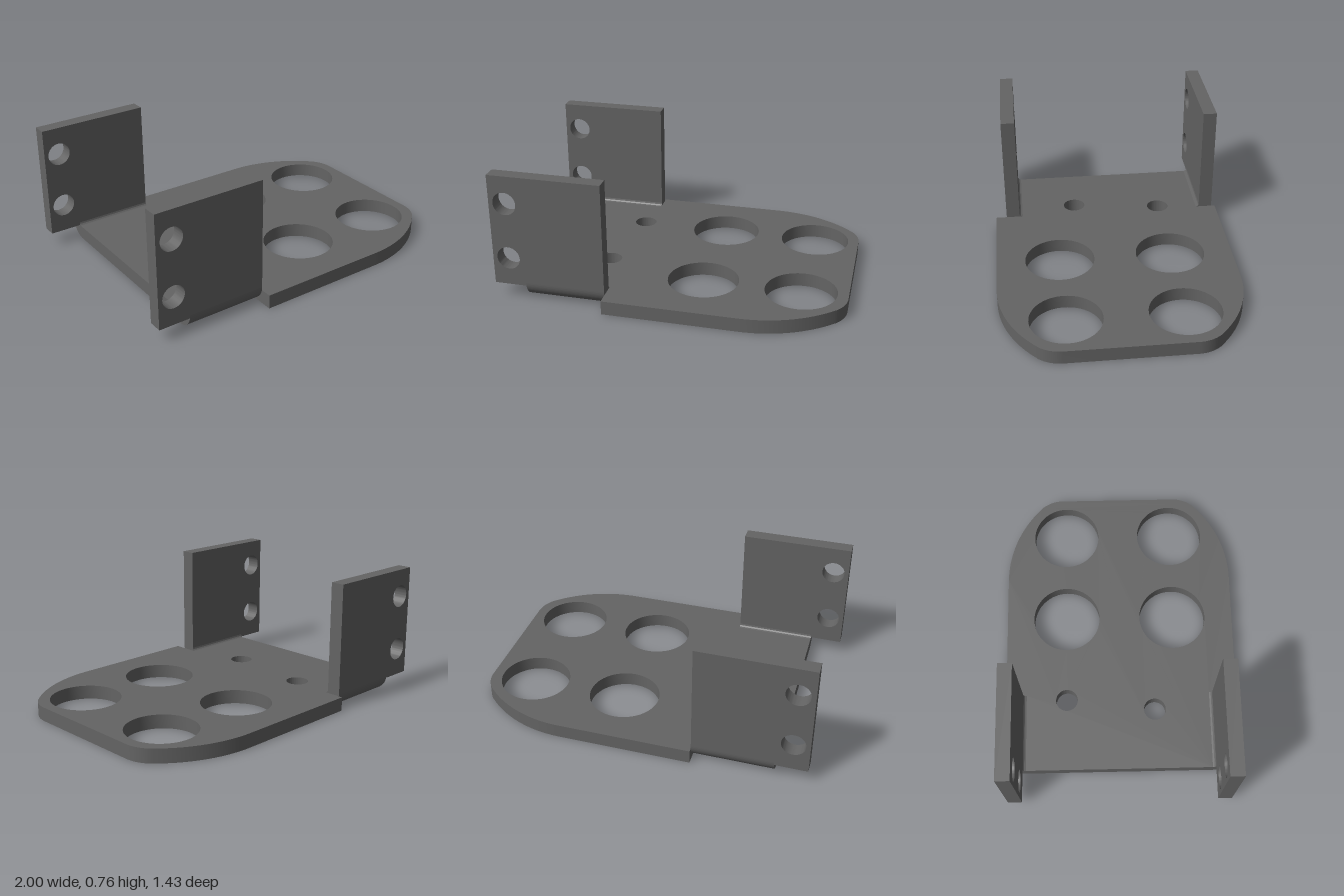
import * as THREE from 'three';
import { toCreasedNormals } from 'three/addons/utils/BufferGeometryUtils.js';

const T = 0.083;          // sheet thickness
const BEND = 0.103;       // outer bend radius
const X_END = -0.812;     // rear edge of the floor
const X_STEP = -0.343;    // where the floor widens
const W = 0.713;          // half width of the wide floor
const FRONT = 0.646;      // outer face of the front flange
const BACK = -0.69;       // outer face of the back flange

const material = new THREE.MeshStandardMaterial({ color: 0x646464 });

function extrude(shape, depth) {
  const geometry = new THREE.ExtrudeGeometry(shape, { depth, bevelEnabled: false, curveSegments: 32 });
  return toCreasedNormals(geometry, 0.5);
}

function addHole(shape, x, y, r) {
  const hole = new THREE.Path();
  hole.absarc(x, y, r, 0, Math.PI * 2, true);
  shape.holes.push(hole);
}

function part(name, geometry) {
  const mesh = new THREE.Mesh(geometry, material);
  mesh.name = name;
  return mesh;
}

// Flat floor with rounded nose; shape y is world -z
function createPlate() {
  const front = -(FRONT - BEND);
  const back = -(BACK + BEND);
  const R = 0.72, r = 0.2, q = Math.PI / 4;
  const s = new THREE.Shape();
  s.moveTo(X_END, front);
  s.lineTo(X_STEP, front);
  s.lineTo(X_STEP, -W);
  s.absarc(0.436, R - W, R, -2 * q, -q, false);
  s.absarc(1 - r, -0.366, r, -q, 0, false);
  s.absarc(1 - r, 0.366, r, 0, q, false);
  s.absarc(0.436, W - R, R, q, 2 * q, false);
  s.lineTo(X_STEP, W);
  s.lineTo(X_STEP, back);
  s.lineTo(X_END, back);
  s.closePath();

  // Four large openings and two small mounting holes
  for (const x of [0.16, 0.73]) for (const y of [-0.333, 0.337]) addHole(s, x, y, 0.208);
  addHole(s, -0.377, 0.338, 0.067);
  addHole(s, -0.444, -0.204, 0.067);
  return part('basePlate', extrude(s, T).rotateX(-Math.PI / 2));
}

// Upright flange and the curved bend joining it to the floor
function createSide(name, outerZ) {
  const side = Math.sign(outerZ);
  const group = new THREE.Group();
  group.name = name;

  const f = new THREE.Shape();
  f.moveTo(-1, 0.085);
  f.lineTo(X_END, 0.085);
  f.lineTo(X_END, BEND);
  f.lineTo(X_STEP, BEND);
  f.lineTo(X_STEP, 0.756);
  f.lineTo(-1, 0.756);
  f.closePath();
  for (const y of [0.253, 0.59]) addHole(f, -0.907, y, 0.068);
  const flange = part('flange', extrude(f, T));
  flange.position.z = side > 0 ? outerZ - T : outerZ;

  const b = new THREE.Shape();
  b.absarc(0, 0, BEND, -Math.PI / 2, 0, false);
  b.absarc(0, 0, BEND - T, 0, -Math.PI / 2, true);
  b.closePath();
  const bend = part('bend', extrude(b, X_STEP - X_END).rotateY(-side * Math.PI / 2));
  bend.position.set(side > 0 ? X_STEP : X_END, BEND, outerZ - side * BEND);

  group.add(flange, bend);
  return group;
}

export function createModel() {
  const model = new THREE.Group();
  model.name = 'bracket';
  model.add(createPlate(), createSide('frontSide', FRONT), createSide('backSide', BACK));
  return model;
}
